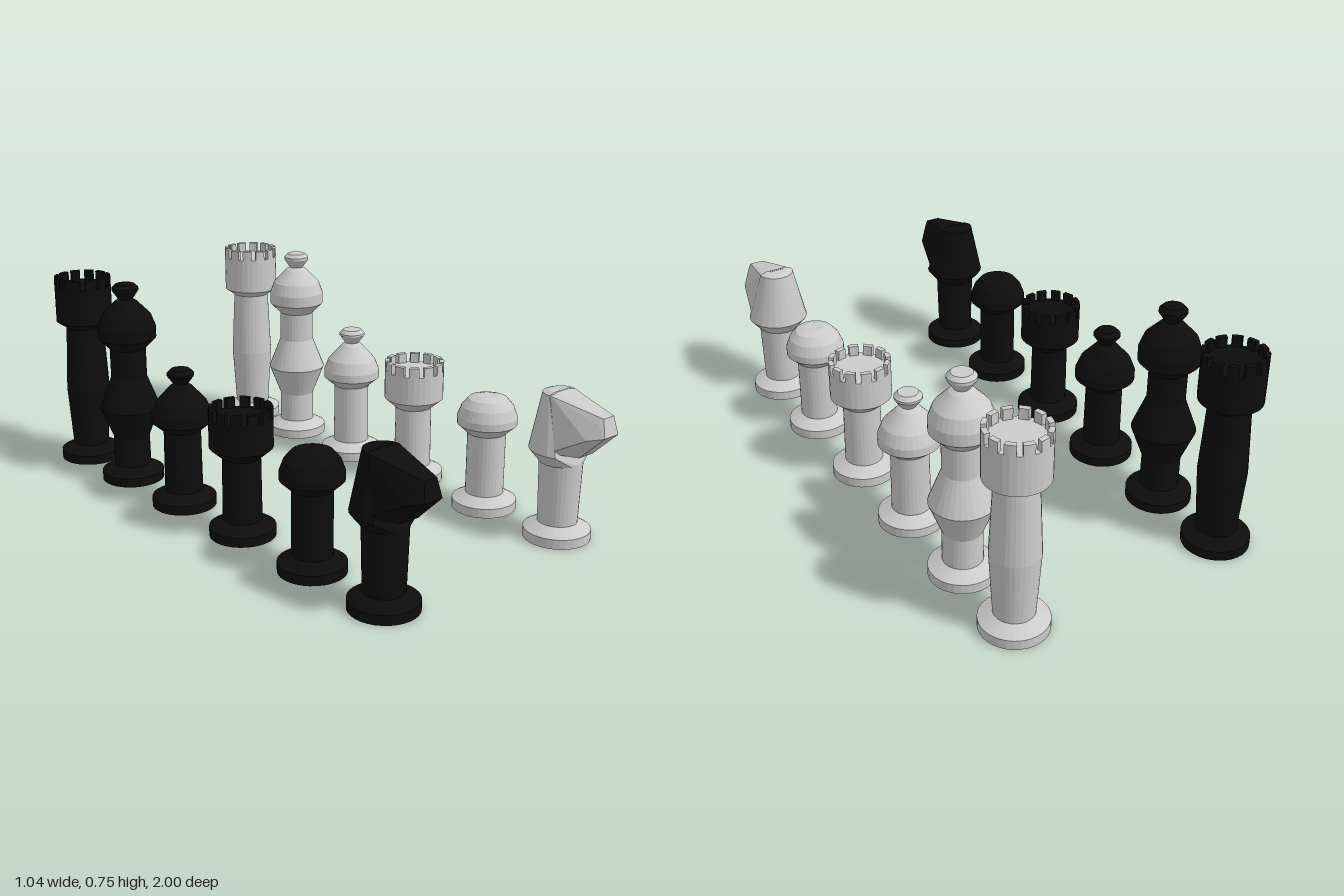
import * as THREE from 'three';
import { ConvexGeometry } from 'three/addons/geometries/ConvexGeometry.js';

const SEG = 32;
const BASE = [[0.115, 0], [0.115, 0.034], [0.068, 0.06]];

// Upper profiles [radius, height], continued from the shared base
const PAWN = [[0.068, 0.283], [0.106, 0.318], [0.106, 0.345], [0.092, 0.382], [0.068, 0.41], [0.035, 0.42], [0, 0.42]];
const BISHOP = [[0.066, 0.283], [0.107, 0.318], [0.107, 0.348], [0.09, 0.39], [0.04, 0.445], [0.026, 0.455],
  [0.048, 0.485], [0.048, 0.493], [0.035, 0.507], [0, 0.507]];
const QUEEN = [[0.067, 0.17], [0.111, 0.283], [0.066, 0.4], [0.066, 0.51], [0.106, 0.55], [0.106, 0.592], [0.09, 0.635],
  [0.042, 0.685], [0.026, 0.695], [0.048, 0.727], [0.048, 0.737], [0.035, 0.75], [0, 0.75]];
const ROOK = [[0.066, 0.283], [0.109, 0.32], [0.109, 0.425], [0, 0.425]];
const KING = [[0.082, 0.283], [0.07, 0.53], [0.106, 0.555], [0.106, 0.69], [0, 0.69]];

function add(group, name, geometry, material) {
  const mesh = new THREE.Mesh(geometry, material);
  mesh.name = name;
  group.add(mesh);
  return mesh;
}

// Turned shell, open underneath
function turned(group, name, profile, material) {
  const points = [...BASE, ...profile].map(([r, y]) => new THREE.Vector2(r, y));
  add(group, name, new THREE.LatheGeometry(points, SEG), material);
}

// Ring of curved battlement teeth
function battlements(group, radius, y, height, material) {
  const count = 12, half = Math.PI / count * 0.66;
  const shape = new THREE.Shape();
  shape.absarc(0, 0, radius, -half, half, false);
  shape.absarc(0, 0, radius - 0.018, half, -half, true);
  const tooth = new THREE.ExtrudeGeometry(shape, { depth: height, bevelEnabled: false, curveSegments: 3 });
  tooth.rotateX(-Math.PI / 2);
  for (let i = 0; i < count; i++) {
    const mesh = add(group, 'battlement', tooth, material);
    mesh.position.y = y;
    mesh.rotation.y = (i + 0.5) * Math.PI * 2 / count;
  }
}

// Knight head: tapering rounded back, with a wedge muzzle to the front
function knightHead(group, material) {
  const back = [];
  const ring = (r, y, from, to, z = 0) => {
    for (let i = 0; i <= 16; i++) {
      const a = from + (to - from) * i / 16;
      back.push(new THREE.Vector3(r * Math.cos(a), y, z - r * Math.sin(a)));
    }
  };
  ring(0.074, 0.275, 0, Math.PI * 2);
  ring(0.111, 0.32, -0.5, Math.PI + 0.5);
  ring(0.064, 0.513, 0, Math.PI, -0.013);
  ring(0.045, 0.521, 0, Math.PI, -0.01);
  add(group, 'knightHead', new ConvexGeometry(back), material);

  const muzzle = [];
  for (const s of [-1, 1]) {
    for (const [x, y, z] of [
      [0.025, 0.522, -0.02], [0.062, 0.512, -0.01], [0.026, 0.475, 0.18], [0.04, 0.455, 0.172],
      [0.035, 0.413, 0.195], [0.07, 0.402, 0.15], [0.035, 0.32, 0.1], [0.1, 0.33, 0.02],
    ]) muzzle.push(new THREE.Vector3(s * x, y, z));
  }
  add(group, 'knightMuzzle', new ConvexGeometry(muzzle), material);
}

function piece(name, z, material) {
  const group = new THREE.Group();
  group.name = name;
  group.position.z = z;
  if (name === 'knight') {
    turned(group, 'knightColumn', [[0.074, 0.28]], material);
    knightHead(group, material);
  } else {
    const profile = { pawn: PAWN, bishop: BISHOP, queen: QUEEN, rook: ROOK, king: KING }[name];
    turned(group, name + 'Body', profile, material);
    if (name === 'rook') battlements(group, 0.109, 0.425, 0.036, material);
    if (name === 'king') battlements(group, 0.106, 0.69, 0.036, material);
  }
  return group;
}

export function createModel() {
  const model = new THREE.Group();
  model.name = 'chessPieces';
  const sides = [['lightPieces', 0.403, 0xcccccc], ['darkPieces', -0.403, 0x0d0d0d]];
  for (const [name, x, color] of sides) {
    const material = new THREE.MeshStandardMaterial({ color, flatShading: true, side: THREE.DoubleSide });
    const row = new THREE.Group();
    row.name = name;
    row.position.x = x;
    row.add(
      piece('knight', 0.805, material), piece('pawn', 0.47, material), piece('rook', 0.102, material),
      piece('bishop', -0.245, material), piece('queen', -0.583, material), piece('king', -0.885, material),
    );
    model.add(row);
  }
  return model;
}
